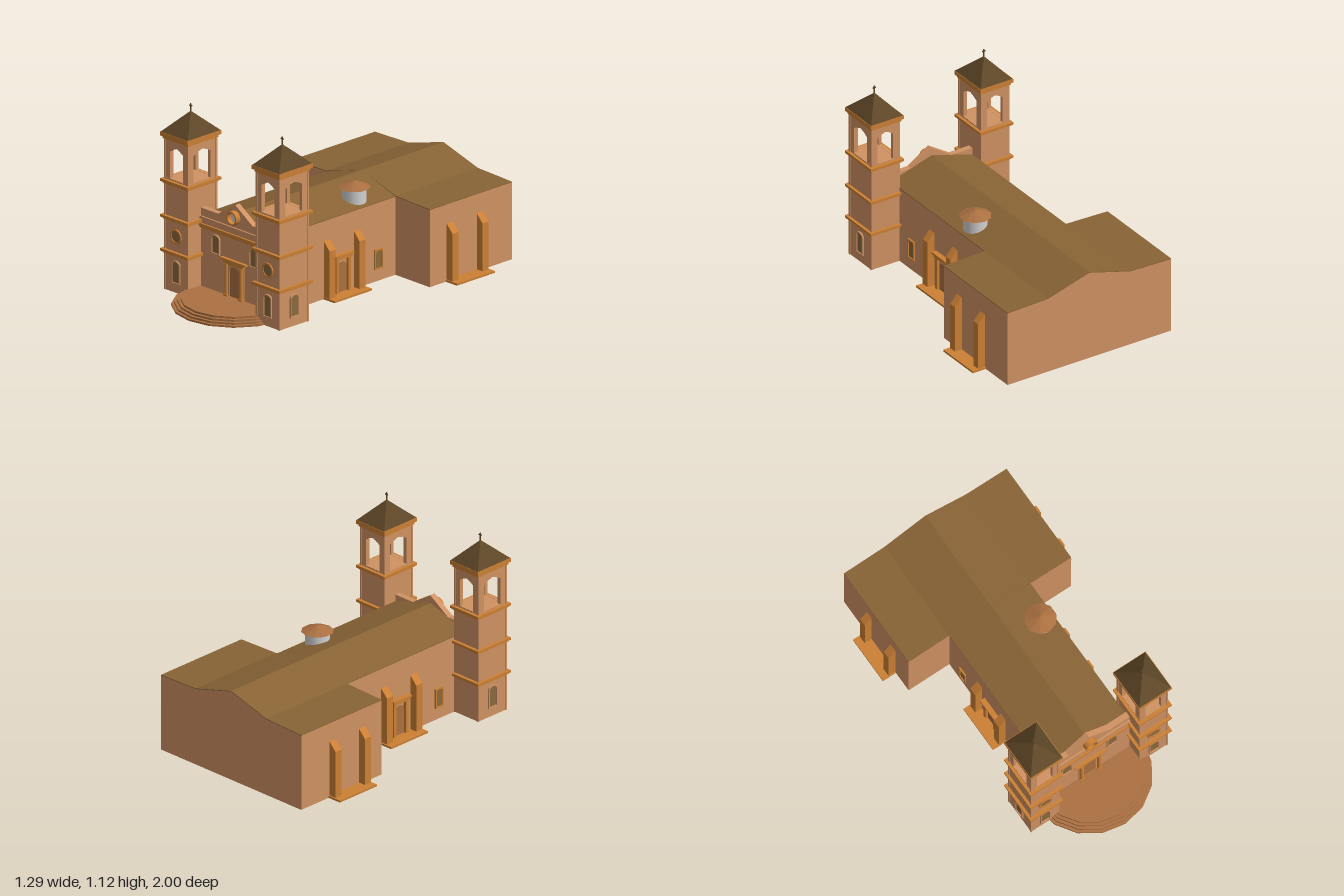
import * as THREE from 'three';

const mat = (name, color) => Object.assign(new THREE.MeshStandardMaterial({ color }), { name });

export function createModel() {
  const wall = mat('clay wall', 0xd09263), trim = mat('ochre trim', 0xcc8034);
  const roofMat = mat('brown roof', 0x886335), spire = mat('dark spire', 0x5e4727);
  const pane = mat('window pane', 0x8a6a3c), timber = mat('terracotta', 0xab7041);
  const pale = mat('pale grey', 0xd2d2d2);
  const root = new THREE.Group();
  root.name = 'church';

  const add = (parent, name, geo, material, x = 0, y = 0, z = 0) => {
    const m = new THREE.Mesh(geo, material);
    m.name = name;
    m.position.set(x, y, z);
    parent.add(m);
    return m;
  };
  const group = (parent, name, x = 0, y = 0, z = 0, ry = 0) => {
    const g = new THREE.Group();
    g.name = name;
    g.position.set(x, y, z);
    g.rotation.y = ry;
    parent.add(g);
    return g;
  };
  // box given by its limits
  const box = (parent, name, material, x0, x1, y0, y1, z0, z1) =>
    add(parent, name, new THREE.BoxGeometry(Math.abs(x1 - x0), y1 - y0, z1 - z0), material,
      (x0 + x1) / 2, (y0 + y1) / 2, (z0 + z1) / 2);
  const poly = pts => new THREE.Shape(pts.map(p => new THREE.Vector2(p[0], p[1])));
  const extrude = (shape, depth) =>
    new THREE.ExtrudeGeometry(shape, { depth, bevelEnabled: false, curveSegments: 8 });
  const flat = geo => {
    const g = geo.toNonIndexed();
    g.computeVertexNormals();
    return g;
  };

  // arch outline: straight jambs and a curved head of the given rise
  const archPoints = (w, h, rise, y0 = 0) => {
    const pts = [[-w, y0], [w, y0]];
    for (let i = 0; i <= 6; i++) {
      const a = Math.PI * i / 6;
      pts.push([w * Math.cos(a), y0 + h - rise + rise * Math.sin(a)]);
    }
    return pts;
  };
  // framed arched opening facing +z, standing on its local origin
  const archWindow = (parent, name, w, h, frameMat, x, y, z, ry = 0, fill = pane, square = false) => {
    const g = group(parent, name, x, y, z, ry);
    const e = 0.007;
    const outer = square ? poly([[-w, 0], [w, 0], [w, h], [-w, h]]) : poly(archPoints(w, h, w * 0.6));
    const inner = archPoints(w - e, h - 2 * e, (w - e) * 0.7, e);
    outer.holes.push(poly(inner));
    add(g, 'frame', extrude(outer, 0.01), frameMat);
    add(g, 'pane', extrude(poly(inner), 0.003), fill);
  };
  // round framed window facing +z
  const roundWindow = (parent, r, fill, x, y, z, depth) => {
    const g = group(parent, 'roundWindow', x, y, z);
    const ring = new THREE.Shape().absarc(0, 0, r, 0, Math.PI * 2);
    ring.holes.push(new THREE.Path().absarc(0, 0, r * 0.78, 0, Math.PI * 2));
    add(g, 'ring', extrude(ring, depth), trim);
    add(g, 'glass', new THREE.CircleGeometry(r * 0.8, 12), fill, 0, 0, 0.003);
  };

  // gabled bodies and their roof skins
  const gabled = (name, profile, z0, z1) => {
    const w = profile[profile.length - 1][0];
    add(root, name, extrude(poly([[-w, 0], [w, 0], ...[...profile].reverse()]), z1 - z0), wall, 0, 0, z0);
    const skin = [...profile].reverse().map(p => [p[0], p[1] + 0.004]);
    add(root, name + 'Roof', extrude(poly([...profile, ...skin]), z1 - z0), roofMat, 0, 0, z0);
  };
  gabled('nave', [[-0.277, 0.47], [0, 0.553], [0.277, 0.47]], -0.355, 0.6);
  gabled('transept', [[-0.556, 0.465], [-0.28, 0.473], [0, 0.553], [0.28, 0.473], [0.556, 0.465]], -1, -0.355);

  // facade with central gable
  add(root, 'facade', extrude(poly([[-0.28, 0], [0.28, 0], [0.28, 0.515], [0.14, 0.515],
    [0, 0.605], [-0.14, 0.515], [-0.28, 0.515]]), 0.035), wall, 0, 0, 0.6);
  box(root, 'parapetBand', wall, -0.28, 0.28, 0.43, 0.468, 0.63, 0.645);
  box(root, 'facadeCorniceTop', trim, -0.28, 0.28, 0.415, 0.43, 0.63, 0.656);
  box(root, 'facadeCorniceBase', trim, -0.28, 0.28, 0.4, 0.415, 0.63, 0.646);
  roundWindow(root, 0.042, pale, 0, 0.53, 0.635, 0.032);
  for (const s of [-1, 1])
    archWindow(root, 'facadeWindow', 0.035, 0.118, wall, s * 0.155, 0.267, 0.635);

  // main portal
  const portal = group(root, 'portal', 0, 0.045, 0.635);
  add(portal, 'door', extrude(poly(archPoints(0.039, 0.185, 0.03)), 0.004), timber);
  const surround = poly([[-0.076, 0], [0.076, 0], [0.076, 0.2], [-0.076, 0.2]]);
  surround.holes.push(poly(archPoints(0.039, 0.184, 0.03, 0.001)));
  add(portal, 'surround', extrude(surround, 0.008), wall);
  for (const s of [-1, 1]) {
    add(portal, 'column', new THREE.CylinderGeometry(0.011, 0.012, 0.19, 12), trim, s * 0.06, 0.1, 0.012);
    box(portal, 'columnBase', trim, s * 0.06 - 0.015, s * 0.06 + 0.015, 0, 0.012, 0, 0.025);
  }
  [[0.078, 0.195, 0.21], [0.09, 0.21, 0.218], [0.104, 0.218, 0.226]].forEach(([w, a, b], i) =>
    box(portal, 'lintel', trim, -w, w, a, b, 0, 0.018 + i * 0.002));

  // half-round entrance steps
  [0.36, 0.343, 0.326, 0.308].forEach((r, i) =>
    add(root, 'step', flat(new THREE.CylinderGeometry(r, r, 0.0115, 8, 1, false, -Math.PI / 2, Math.PI)),
      timber, 0, 0.0058 + i * 0.0115, 0.638));

  // bell towers
  const cornice = (t, y, h) => {
    box(t, 'corniceBase', trim, -0.102, 0.102, y, y + h * 0.4, -0.121, 0.121);
    box(t, 'corniceTop', trim, -0.112, 0.112, y + h * 0.4, y + h, -0.132, 0.132);
  };
  for (const s of [-1, 1]) {
    const t = group(root, 'bellTower', s * 0.372, 0, 0.625);
    box(t, 'shaft', wall, -0.094, 0.094, 0, 0.675, -0.112, 0.112);
    for (const i of [-1, 1]) for (const j of [-1, 1])
      box(t, 'cornerStrip', wall, i * 0.085, i * 0.097, 0, 0.91, j * 0.109 - 0.006, j * 0.109 + 0.006);
    cornice(t, 0.222, 0.025);
    cornice(t, 0.427, 0.025);
    cornice(t, 0.642, 0.026);
    cornice(t, 0.91, 0.04);

    // open belfry: four pierced walls
    const belfryWall = (half, open, x, z, ry) => {
      const sh = poly([[-half, 0.668], [half, 0.668], [half, 0.912], [-half, 0.912]]);
      sh.holes.push(poly([[-open, 0.676], [open, 0.676], [open, 0.84], [open * 0.5, 0.857], [0, 0.868],
        [-open * 0.5, 0.857], [-open, 0.84]]));
      const m = add(t, 'belfryWall', extrude(sh, 0.022), wall, x, 0, z);
      m.rotation.y = ry;
    };
    belfryWall(0.093, 0.053, 0, 0.089, 0);
    belfryWall(0.093, 0.053, 0, -0.089, Math.PI);
    belfryWall(0.11, 0.066, 0.071, 0, Math.PI / 2);
    belfryWall(0.11, 0.066, -0.071, 0, -Math.PI / 2);

    // pyramid roof and cross
    const pyramid = new THREE.ConeGeometry(Math.SQRT1_2, 0.122, 4);
    pyramid.rotateY(Math.PI / 4);
    pyramid.scale(0.22, 1, 0.262);
    add(t, 'spire', flat(pyramid), spire, 0, 1.01, 0);
    box(t, 'crossPost', spire, -0.003, 0.003, 1.06, 1.115, -0.003, 0.003);
    box(t, 'crossArm', spire, -0.01, 0.01, 1.1, 1.106, -0.003, 0.003);

    // tower windows
    archWindow(t, 'towerWindow', 0.034, 0.14, wall, 0, 0.055, 0.112);
    archWindow(t, 'towerSideWindow', 0.034, 0.14, wall, s * 0.094, 0.055, 0, s * Math.PI / 2);
    roundWindow(t, 0.044, pane, 0, 0.34, 0.112, 0.008);
  }

  // side porches, buttresses and windows
  for (const s of [-1, 1]) {
    const buttress = (x, z) => add(root, 'buttress', extrude(poly([[s * (x - 0.01), 0], [s * (x + 0.047), 0],
      [s * (x + 0.047), 0.3], [s * x, 0.35], [s * (x - 0.01), 0.35]]), 0.048), trim, 0, 0, z - 0.024);
    box(root, 'transeptPlinth', trim, s * 0.54, s * 0.645, 0, 0.012, -0.78, -0.482);
    box(root, 'navePlinth', trim, s * 0.26, s * 0.366, 0, 0.012, -0.085, 0.21);
    buttress(0.556, -0.748);
    buttress(0.556, -0.512);
    buttress(0.277, 0.183);
    buttress(0.277, -0.052);

    // side doorway
    const d = group(root, 'sideDoorway', s * 0.277, 0.01, 0.068, s * Math.PI / 2);
    add(d, 'door', extrude(poly(archPoints(0.034, 0.182, 0.028)), 0.004), timber);
    for (const i of [-1, 1]) box(d, 'jamb', trim, i * 0.037, i * 0.057, 0, 0.21, 0, 0.018);
    box(d, 'lintel', trim, -0.062, 0.062, 0.205, 0.222, 0, 0.024);
    box(d, 'lintelCap', trim, -0.071, 0.071, 0.222, 0.235, 0, 0.032);

    for (const z of [0.385, -0.218])
      archWindow(root, 'naveWindow', 0.031, 0.122, trim, s * 0.277, 0.073, z, s * Math.PI / 2, pane, true);
  }

  // roof lantern
  add(root, 'lanternDrum', new THREE.CylinderGeometry(0.071, 0.071, 0.1, 16), pale, 0.185, 0.523, -0.12);
  add(root, 'lanternCap', flat(new THREE.ConeGeometry(0.094, 0.036, 10)), timber, 0.185, 0.587, -0.12);
  return root;
}
